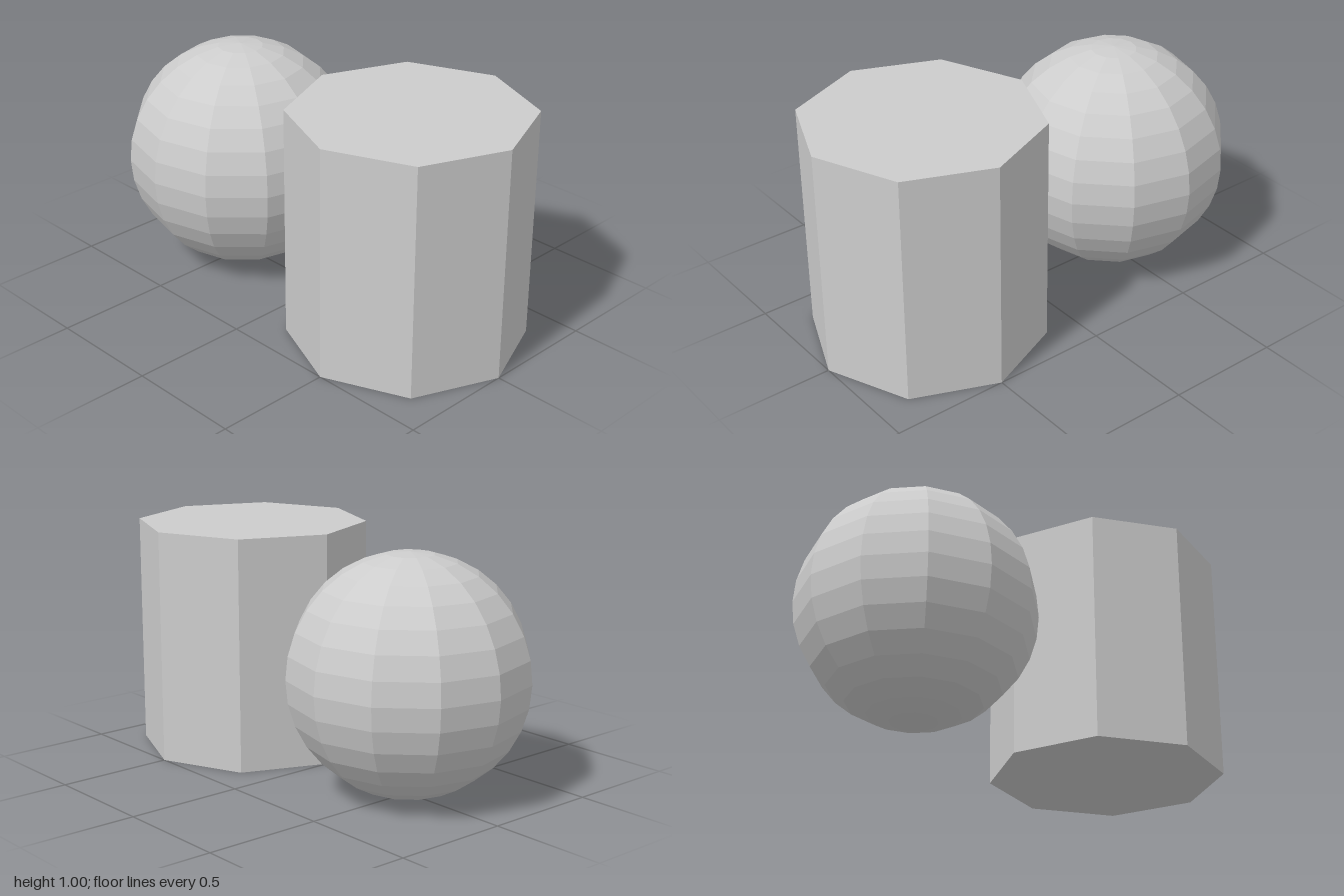
import * as THREE from 'three';

export function createModel() {
  const group = new THREE.Group();
  const grey = new THREE.MeshStandardMaterial({ color: 0xcccccc });
  grey.name = 'light grey';

  // Separate vertices per face give crisp facets
  const addPart = (name, geometry, x) => {
    const faceted = geometry.toNonIndexed();
    faceted.computeVertexNormals();
    const mesh = new THREE.Mesh(faceted, grey);
    mesh.name = name;
    mesh.position.set(x, 0.5, 0);
    group.add(mesh);
  };

  // Faceted ball, touching the prism at x = 0
  addPart('ball', new THREE.SphereGeometry(0.5, 12, 16), -0.5);
  // Eight-sided prism
  addPart('octagonalPrism', new THREE.CylinderGeometry(0.5, 0.5, 1, 8), 0.5);

  return group;
}
